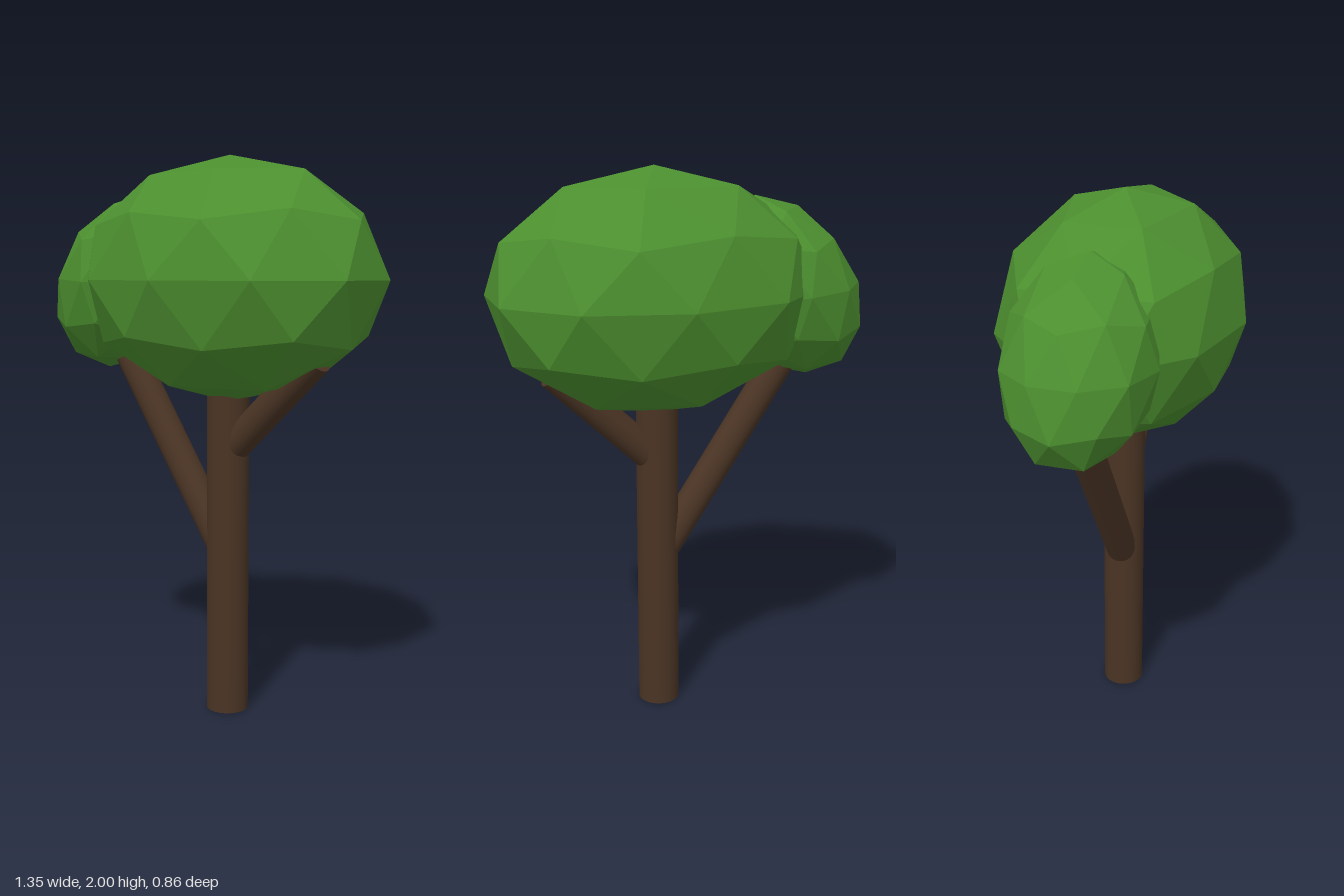
import * as THREE from 'three';

const bark = new THREE.MeshStandardMaterial({ color: 0x4a3424 });
const leaves = new THREE.MeshStandardMaterial({ color: 0x4c8f2f, flatShading: true });

// Straight round limb between two points
function limb(name, from, to, radius) {
  const a = new THREE.Vector3(...from);
  const b = new THREE.Vector3(...to);
  const dir = b.clone().sub(a);
  const mesh = new THREE.Mesh(new THREE.CylinderGeometry(radius, radius, dir.length(), 32), bark);
  mesh.name = name;
  mesh.position.copy(a).add(b).multiplyScalar(0.5);
  mesh.quaternion.setFromUnitVectors(new THREE.Vector3(0, 1, 0), dir.normalize());
  return mesh;
}

// Faceted foliage ball, stretched along its own x axis and tilted about z
function foliage(name, x, y, size, tilt) {
  const geometry = new THREE.IcosahedronGeometry(1, 1);
  // stand the ball on a corner so that one vertex is its pole
  geometry.rotateZ(-Math.atan(2 / (1 + Math.sqrt(5))));
  const mesh = new THREE.Mesh(geometry, leaves);
  mesh.name = name;
  mesh.position.set(x, y, 0);
  mesh.scale.set(0.6, 0.43, 0.43).multiplyScalar(size);
  mesh.rotation.z = tilt;
  return mesh;
}

export function createModel() {
  const tree = new THREE.Group();
  tree.name = 'tree';
  tree.add(
    limb('trunk', [0.095, 0, 0], [0.095, 1.35, 0], 0.076),
    limb('rightBranch', [0.095, 0.575, 0], [-0.4, 1.325, 0], 0.058),
    limb('leftBranch', [0.1, 0.957, 0], [0.47, 1.31, 0], 0.057),
    foliage('mainCanopy', 0.1, 1.57, 1, 0),
    foliage('sideCanopy', -0.38, 1.562, 0.605, THREE.MathUtils.degToRad(52))
  );
  return tree;
}
